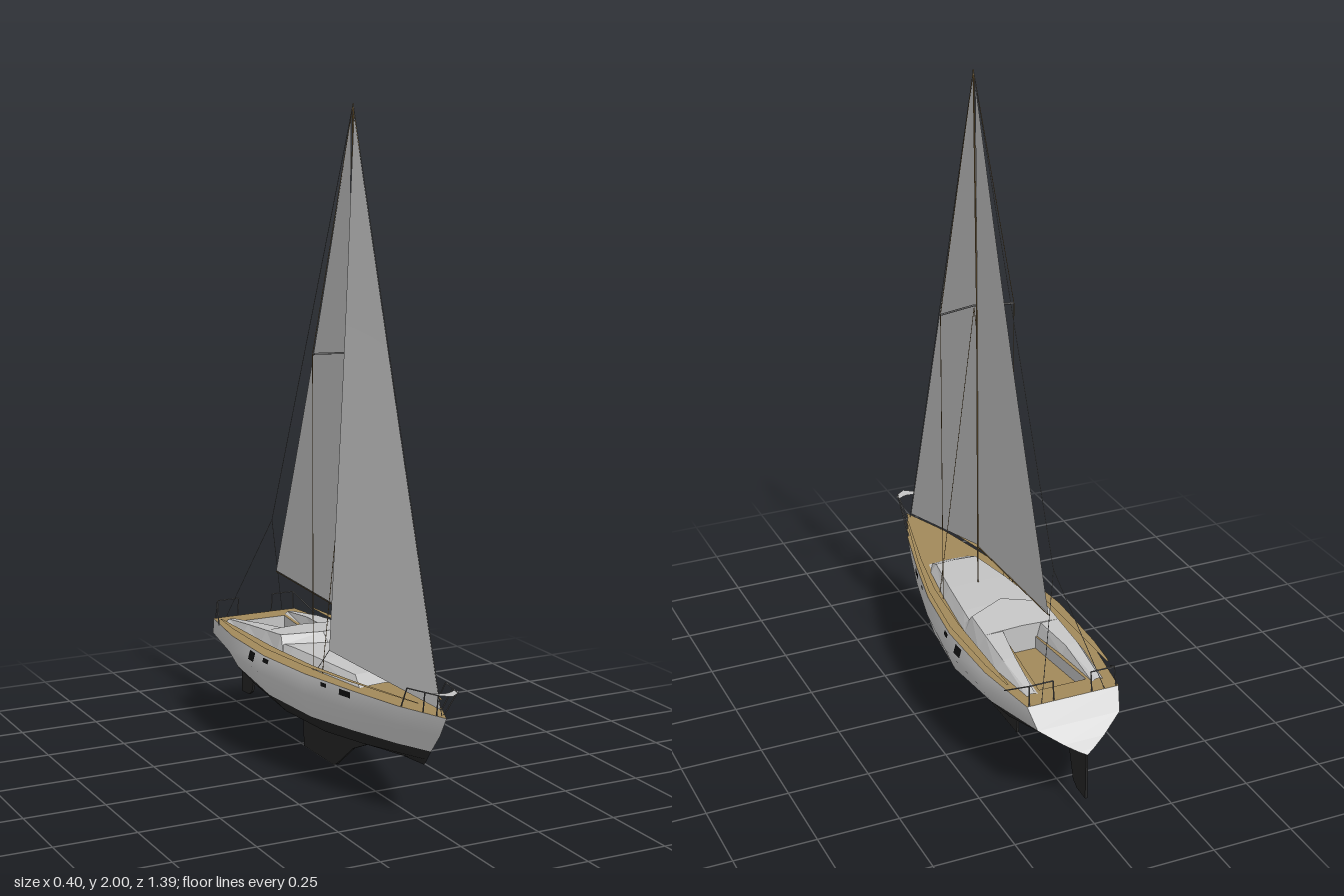
import * as THREE from 'three';

const V = (x, y, z) => new THREE.Vector3(x, y, z);
const mat = (name, color, side = THREE.FrontSide) => {
  const m = new THREE.MeshStandardMaterial({ color, side });
  m.name = name;
  return m;
};

// Surface through rows of points
function grid(rows) {
  const n = rows[0].length, idx = [];
  for (let i = 0; i < rows.length - 1; i++)
    for (let j = 0; j < n - 1; j++) {
      const a = i * n + j, b = a + 1, c = a + n, d = c + 1;
      idx.push(a, b, c, b, d, c);
    }
  const g = new THREE.BufferGeometry().setFromPoints(rows.flat());
  g.setIndex(idx);
  g.computeVertexNormals();
  return g;
}
const flat = (rows) => {
  const g = grid(rows).toNonIndexed();
  g.computeVertexNormals();
  return g;
};
const mirror = (p) => V(-p.x, p.y, p.z);
// Full cross-section from the half on the left side, which ends on the centreline
const full = (half) => [...half, ...half.slice(0, -1).reverse().map(mirror)];

export function createModel() {
  const model = new THREE.Group();
  const white = mat('hull grey', 0xcccccc);
  const deckGrey = mat('cabin grey', 0xc4c4c4, THREE.DoubleSide);
  const sailCloth = mat('sail cloth', 0xc4c4c4, THREE.DoubleSide);
  const black = mat('antifouling black', 0x262626);
  const teak = mat('teak', 0xa2895a, THREE.DoubleSide);
  const port = mat('porthole black', 0x101010, THREE.DoubleSide);
  const steel = mat('rail steel', 0x6a6a6a);
  const spar = mat('spar brown', 0x846a40);

  const add = (name, geo, m, parent = model) => {
    const mesh = new THREE.Mesh(geo, m);
    mesh.name = name;
    parent.add(mesh);
    return mesh;
  };
  const group = (name) => {
    const g = new THREE.Group();
    g.name = name;
    model.add(g);
    return g;
  };
  // Thin rods along a list of points
  const rods = (name, pts, r, m, parent) => {
    for (let i = 0; i < pts.length - 1; i++) {
      const d = pts[i + 1].clone().sub(pts[i]);
      const rod = add(name, new THREE.CylinderGeometry(r, r, d.length(), 6), m, parent);
      rod.position.copy(pts[i]).addScaledVector(d, 0.5);
      rod.quaternion.setFromUnitVectors(V(0, 1, 0), d.normalize());
    }
  };
  const both = (name, pts, r, m, parent) => {
    rods(name, pts, r, m, parent);
    rods(name, pts.map(mirror), r, m, parent);
  };

  // Hull stations from bow to stern: sheer, widest line, waterline, bilge, centreline
  const stations = [
    [V(0, 0.34, 0.665), V(0, 0.28, 0.63), V(0, 0.22, 0.58), V(0, 0.19, 0.558), V(0, 0.17, 0.54)],
    [V(0.065, 0.34, 0.5), V(0.06, 0.28, 0.49), V(0.047, 0.217, 0.46), V(0.028, 0.18, 0.44), V(0, 0.16, 0.42)],
    [V(0.115, 0.34, 0.3), V(0.115, 0.28, 0.3), V(0.094, 0.21, 0.28), V(0.06, 0.165, 0.28), V(0, 0.14, 0.28)],
    [V(0.158, 0.34, 0.1), V(0.162, 0.28, 0.1), V(0.138, 0.206, 0.1), V(0.09, 0.153, 0.1), V(0, 0.122, 0.1)],
    [V(0.184, 0.34, -0.13), V(0.2, 0.29, -0.13), V(0.168, 0.215, -0.13), V(0.11, 0.155, -0.13), V(0, 0.115, -0.13)],
    [V(0.178, 0.34, -0.38), V(0.188, 0.29, -0.38), V(0.158, 0.237, -0.38), V(0.1, 0.172, -0.38), V(0, 0.145, -0.38)],
    [V(0.145, 0.34, -0.6), V(0.13, 0.28, -0.64), V(0.065, 0.236, -0.673), V(0.025, 0.212, -0.689), V(0, 0.2, -0.698)],
  ];
  const rings = stations.map(full);
  add('topsidesLeft', grid(rings.map((r) => r.slice(0, 3))), white);
  add('topsidesRight', grid(rings.map((r) => r.slice(6))), white);
  add('hullBottom', grid(rings.map((r) => r.slice(2, 7))), black);
  const stern = stations[6];
  add('transom', flat([stern, stern.map(mirror)]), white);

  // Keel and rudder blades
  const blade = (name, pts, t) => {
    const g = new THREE.ExtrudeGeometry(new THREE.Shape(pts.map((p) => new THREE.Vector2(...p))),
      { depth: t, bevelEnabled: false });
    add(name, g.translate(0, 0, -t / 2).rotateY(-Math.PI / 2), black);
  };
  blade('keel', [[0.22, 0.14], [0.18, 0.12], [0.11, 0.09], [0, 0.008], [-0.02, 0], [-0.225, 0], [-0.23, 0.14]], 0.007);
  blade('rudder', [[-0.57, 0.19], [-0.585, 0.165], [-0.615, 0.07], [-0.64, 0.055], [-0.695, 0.052], [-0.695, 0.2]], 0.007);

  // Teak deck with a cockpit opening
  const outline = [...stations.map((s) => s[0]), ...stations.slice(1).reverse().map((s) => mirror(s[0]))];
  const to2 = (p) => new THREE.Vector2(p.x, -p.z);
  const well = [V(0.045, 0.34, -0.25), V(0.075, 0.34, -0.53), V(-0.075, 0.34, -0.53), V(-0.045, 0.34, -0.25)];
  const deckShape = new THREE.Shape(outline.map(to2));
  deckShape.holes.push(new THREE.Path(well.map(to2)));
  add('deck', new THREE.ShapeGeometry(deckShape).rotateX(-Math.PI / 2).translate(0, 0.34, 0), teak);
  add('cockpitFloor', new THREE.ShapeGeometry(new THREE.Shape(well.map(to2))).rotateX(-Math.PI / 2).translate(0, 0.3, 0), teak);
  const wellLoop = [...well, well[0]];
  add('cockpitWalls', flat([wellLoop, wellLoop.map((p) => V(p.x, 0.3, p.z))]), deckGrey);

  // Raised teak side rails: outer x, width, z
  const railStrip = [
    [0.04, 0.006, 0.57], [0.112, 0.014, 0.3], [0.156, 0.022, 0.1], [0.182, 0.03, -0.13], [0.176, 0.02, -0.38], [0.164, 0.006, -0.5],
  ].map(([x, w, z]) => [V(x, 0.363, z), V(x - w, 0.363, z)]);
  add('sideRailLeft', flat(railStrip.map((r) => [r[1], r[0]])), teak);
  add('sideRailRight', flat(railStrip.map((r) => r.map(mirror))), teak);

  // Cabin roof with a sloping front
  const cabin = [
    [0.08, 0.342, 0.3], [0.088, 0.365, 0.25], [0.114, 0.371, 0.08], [0.132, 0.372, -0.07], [0.138, 0.368, -0.14],
  ].map(([w, h, z]) => full([V(w, 0.339, z), V(w - 0.02, h, z), V(0, h + 0.003, z)]));
  add('cabinRoof', flat(cabin), deckGrey);

  // Windscreen step and cockpit hood
  const screen = [
    full([V(0.132, 0.339, -0.1), V(0.12, 0.368, -0.125), V(0, 0.374, -0.062)]),
    full([V(0.138, 0.339, -0.14), V(0.118, 0.393, -0.147), V(0, 0.402, -0.095)]),
  ];
  add('windscreen', flat(screen), deckGrey);
  const hood = full([V(0.142, 0.339, -0.25), V(0.12, 0.383, -0.25), V(0, 0.388, -0.25)]);
  add('cockpitHood', flat([screen[1], hood]), deckGrey);
  add('hoodBulkhead', flat([hood, hood.map((p) => V(p.x, 0.339, p.z))]), deckGrey);

  // Cockpit coamings
  const coaming = [
    [0.142, 0.12, 0.05, 0.383, -0.25], [0.143, 0.122, 0.07, 0.37, -0.38], [0.122, 0.112, 0.085, 0.346, -0.55],
  ].map(([o, t, i, h, z]) => [V(o, 0.339, z), V(t, h, z), V(i + 0.012, h, z), V(i, 0.339, z)]);
  add('coamingLeft', flat(coaming), deckGrey);
  add('coamingRight', flat(coaming.map((r) => r.map(mirror).reverse())), deckGrey);

  // Portholes lying on the topsides
  const onHull = (z, t) => {
    let i = 1;
    while (i < stations.length - 2 && stations[i + 1][0].z > z) i++;
    const at = (row) => {
      const a = stations[i][row], b = stations[i + 1][row];
      return a.clone().lerp(b, (z - a.z) / (b.z - a.z));
    };
    return at(0).lerp(at(1), t).add(V(0.003, 0, 0));
  };
  for (const [z, w, t0, t1] of [[0.285, 0.05, 0.1, 0.4], [0.19, 0.025, 0.1, 0.3], [-0.11, 0.03, 0.1, 0.35], [-0.205, 0.04, 0.12, 0.65]]) {
    const rows = [z + w / 2, z - w / 2].map((q) => [onHull(q, t0), onHull(q, t1)]);
    add('portholeLeft', flat(rows), port);
    add('portholeRight', flat(rows.map((r) => r.map(mirror))), port);
  }

  // Mast, boom and swept spreaders
  const top = V(0, 1.998, 0.1);
  rods('mast', [V(0, 0.34, 0.075), V(0, 1.28, 0.08), top], 0.0022, spar);
  rods('boom', [V(0, 0.497, 0.075), V(0, 0.517, -0.43)], 0.0015, spar);
  both('spreader', [V(0, 1.285, 0.105), V(0.118, 1.285, 0.075)], 0.003, steel);

  // Sails: edges joined by rows from foot to head
  const sail = (name, luff, leech) => {
    const a = new THREE.CatmullRomCurve3(luff), b = new THREE.CatmullRomCurve3(leech), rows = [];
    for (let i = 0; i <= 12; i++) {
      const p = a.getPoint(i / 12), q = b.getPoint(i / 12);
      rows.push([p, p.clone().lerp(q, 0.5), q]);
    }
    add(name, grid(rows), sailCloth);
  };
  sail('mainsail', [V(0, 0.5, 0.072), V(0, 1.22, 0.076), V(0, 1.95, 0.088)],
    [V(0, 0.52, -0.43), V(0, 1.23, -0.165), V(0, 1.95, 0.084)]);
  sail('headsail', [V(0, 0.355, 0.63), V(0, 1.158, 0.368), V(0, 1.965, 0.107)],
    [V(-0.1, 0.415, 0.145), V(-0.048, 1.18, 0.127), V(0, 1.965, 0.105)]);

  // Standing rigging
  const rig = group('rigging');
  rods('forestay', [V(0, 0.34, 0.638), top], 0.001, steel, rig);
  rods('backstay', [top, V(0, 0.68, -0.46)], 0.001, steel, rig);
  both('backstayLeg', [V(0, 0.68, -0.46), V(0.1, 0.34, -0.6)], 0.001, steel, rig);
  both('shroud', [top, V(0.118, 1.285, 0.075), V(0.118, 0.34, 0.075)], 0.001, spar, rig);
  both('lowerShroud', [V(0, 1.28, 0.1), V(0.11, 0.34, 0.12)], 0.001, spar, rig);
  rods('headsailSheet', [V(-0.1, 0.415, 0.145), V(-0.12, 0.345, 0.1)], 0.001, steel, rig);

  // Bow and stern rails, with a small seat plate at the stem
  const rails = group('rails');
  const seat = [V(0.042, 0.411, 0.655), V(0.03, 0.412, 0.675), V(0, 0.412, 0.697)];
  const seatInner = [V(0.034, 0.411, 0.645), V(0.018, 0.411, 0.655), V(0, 0.411, 0.66)];
  add('bowSeat', flat([full(seat), full(seatInner)]), deckGrey, rails);
  both('bowRail', [V(0.03, 0.412, 0.675), V(0.062, 0.405, 0.55), V(0.058, 0.34, 0.51)], 0.002, steel, rails);
  both('bowRailPost', [V(0.03, 0.412, 0.67), V(0.012, 0.34, 0.63)], 0.002, steel, rails);
  both('bowRailPost', [V(0.044, 0.408, 0.62), V(0.03, 0.34, 0.585)], 0.002, steel, rails);
  both('sternRail', [V(0.06, 0.34, -0.598), V(0.06, 0.4, -0.59), V(0.135, 0.4, -0.59), V(0.17, 0.345, -0.5)], 0.002, steel, rails);
  both('sternRailPost', [V(0.135, 0.4, -0.59), V(0.138, 0.34, -0.598)], 0.002, steel, rails);

  return model;
}
